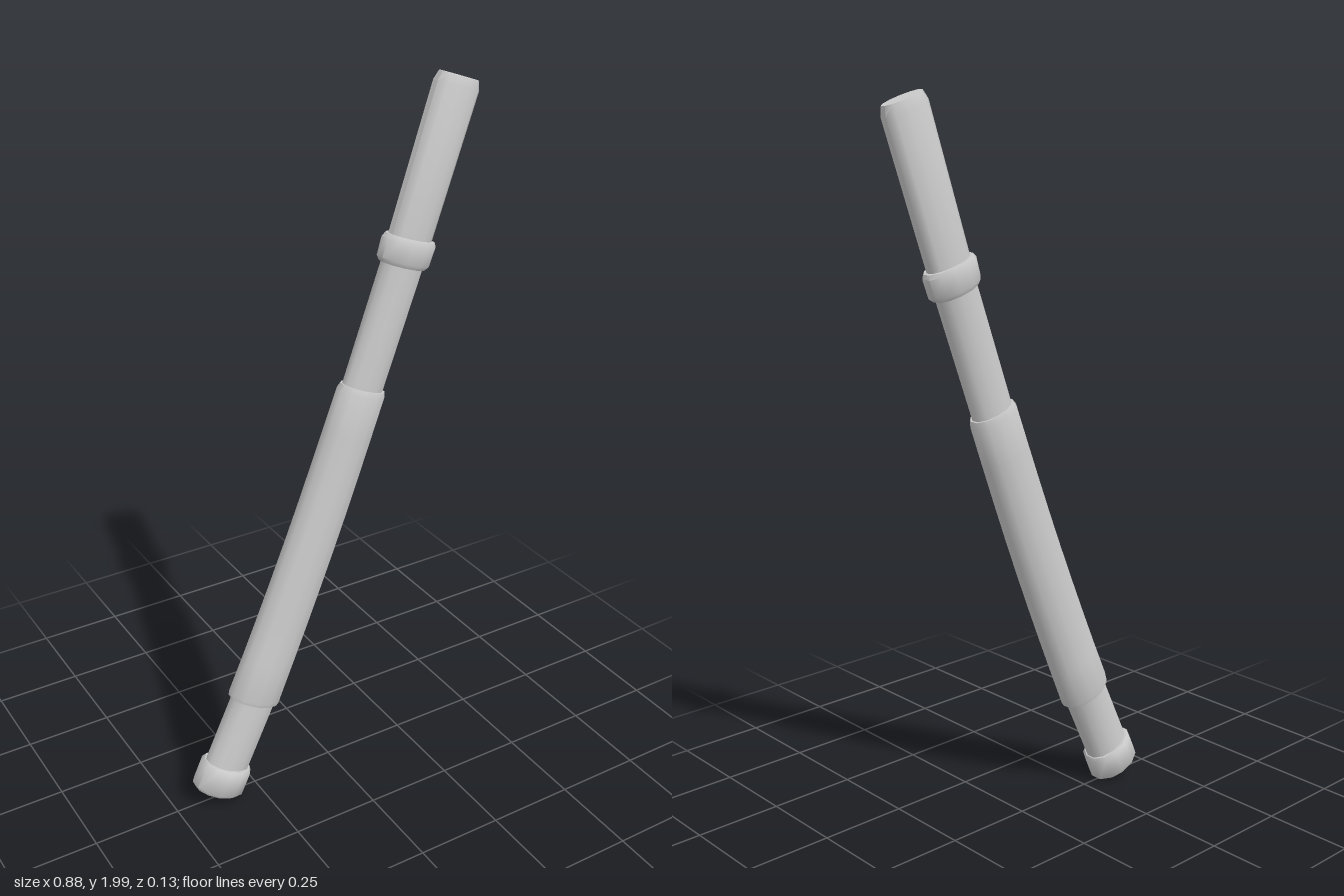
import * as THREE from 'three';
import { toCreasedNormals } from 'three/addons/utils/BufferGeometryUtils.js';

const SIDES = 12;

// gently bowed centre line of the staff, from foot to tip
const spine = new THREE.CatmullRomCurve3([
  [-0.375, 0.04], [-0.338, 0.12], [-0.245, 0.317], [-0.06, 0.756],
  [0.107, 1.195], [0.227, 1.525], [0.248, 1.588], [0.383, 1.985],
].map(([x, y]) => new THREE.Vector3(x, y, 0)));
const LENGTH = spine.getLength();

// sweep oval rings along the spine; stations are [distance, half width, half depth]
function loft(stations) {
  const pos = [], index = [];
  for (const [s, w, d] of stations) {
    const u = Math.min(Math.max(s / LENGTH, 0), 1);
    const c = spine.getPointAt(u), t = spine.getTangentAt(u);
    for (let i = 0; i < SIDES; i++) {
      const a = ((i + 0.5) / SIDES) * Math.PI * 2;
      const r = Math.cos(a) * w / 0.966;
      pos.push(c.x + t.y * r, c.y - t.x * r, Math.sin(a) * d / 0.966);
    }
  }
  for (let k = 0; k < stations.length - 1; k++) {
    for (let i = 0; i < SIDES; i++) {
      const a = k * SIDES + i, b = k * SIDES + (i + 1) % SIDES;
      index.push(a, a + SIDES, b, b, a + SIDES, b + SIDES);
    }
  }
  const g = new THREE.BufferGeometry();
  g.setAttribute('position', new THREE.Float32BufferAttribute(pos, 3));
  g.setIndex(index);
  return toCreasedNormals(g, 0.9);
}

export function createModel() {
  const group = new THREE.Group();
  const material = new THREE.MeshStandardMaterial({ color: 0xcccccc, side: THREE.DoubleSide });
  const add = (name, stations) => {
    const mesh = new THREE.Mesh(loft(stations), material);
    mesh.name = name;
    group.add(mesh);
  };
  const tiny = 0.0005;

  // foot cap with a shallow recess underneath
  add('footCap', [
    [0.02, tiny, tiny], [0.02, 0.058, 0.044], [0, 0.066, 0.05], [0.012, 0.078, 0.062],
    [0.078, 0.077, 0.064], [0.09, 0.07, 0.056], [0.09, 0.06, 0.045],
  ]);
  add('lowerShaft', [[0.085, 0.067, 0.048], [0.31, 0.067, 0.048]]);

  // long curved grip
  const grip = [[0.3, 0.06, 0.044], [0.3, 0.077, 0.052], [0.312, 0.08, 0.055]];
  for (let i = 1; i <= 8; i++) {
    const f = i / 8;
    grip.push([0.312 + 0.925 * f, 0.08 - 0.008 * f, 0.053 - 0.003 * f]);
  }
  grip.push([1.253, 0.066, 0.045], [1.253, 0.055, 0.036]);
  add('grip', grip);

  add('upperShaft', [[1.245, 0.061, 0.04], [1.61, 0.062, 0.04]]);

  // collar ring
  add('collar', [
    [1.594, 0.056, 0.036], [1.594, 0.068, 0.043], [1.606, 0.078, 0.05],
    [1.658, 0.08, 0.05], [1.67, 0.073, 0.045], [1.67, 0.055, 0.03],
  ]);

  // flattened tip with a bevelled end
  add('tip', [
    [1.66, 0.065, 0.036], [LENGTH - 0.025, 0.068, 0.036],
    [LENGTH, 0.06, 0.028], [LENGTH, tiny, tiny],
  ]);
  return group;
}
